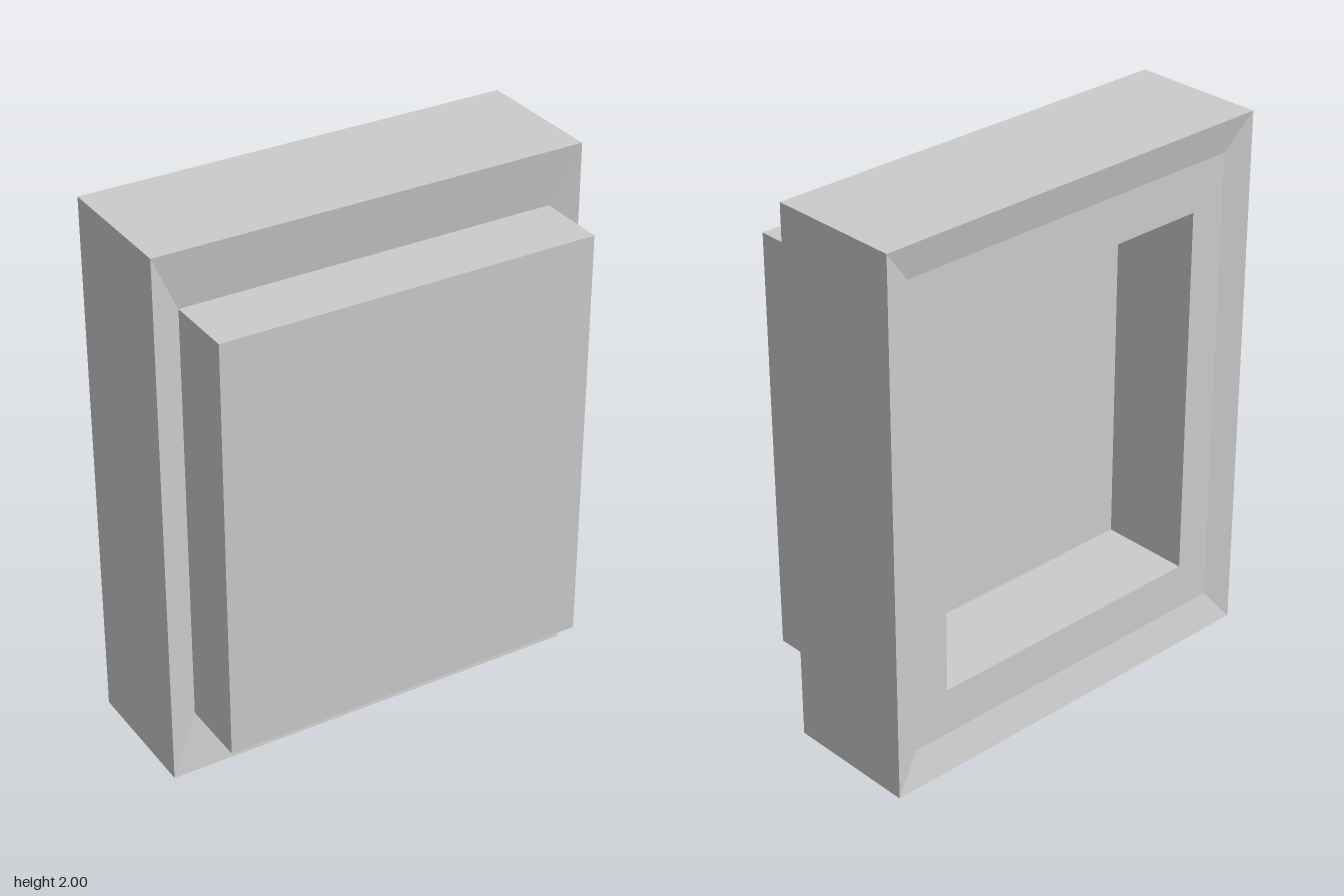
import * as THREE from 'three';

// Corners of an upright rectangle, counter-clockwise seen from the front
const rectLoop = ([halfW, y0, y1, z]) => [
  [-halfW, y0, z], [halfW, y0, z], [halfW, y1, z], [-halfW, y1, z],
];

// Skin rectangular sections from front to back, closing the last one
function loftRects(sections) {
  const loops = sections.map(rectLoop);
  const positions = [];
  const quad = (a, b, c, d) => positions.push(...a, ...b, ...c, ...a, ...c, ...d);
  for (let s = 0; s < loops.length - 1; s++) {
    const A = loops[s], B = loops[s + 1];
    for (let i = 0; i < 4; i++) {
      const j = (i + 1) % 4;
      quad(A[i], B[i], B[j], A[j]);
    }
  }
  const [p, q, r, t] = loops[loops.length - 1];
  quad(p, t, r, q);
  const geometry = new THREE.BufferGeometry();
  geometry.setAttribute('position', new THREE.Float32BufferAttribute(positions, 3));
  geometry.computeVertexNormals();
  return geometry;
}

export function createModel() {
  const group = new THREE.Group();
  const material = new THREE.MeshStandardMaterial({ color: 0xcccccc, flatShading: true });

  // Frame: shallow sloped front, straight sides, sloped back rim and a deep recess
  const frame = new THREE.Mesh(loftRects([
    // half width, bottom, top, z
    [0.697, 0.22, 1.785, 0.105],  // front slope meets the panel
    [0.8, 0, 2, 0.135],           // outer front edge
    [0.8, 0, 2, -0.365],          // outer back edge
    [0.697, 0.13, 1.87, -0.336],  // foot of the back slope
    [0.558, 0.305, 1.695, -0.336], // recess opening
    [0.558, 0.305, 1.695, 0.008],  // recess floor
  ]), material);
  frame.name = 'frame';
  group.add(frame);

  // Raised panel on the front
  const panel = new THREE.Mesh(new THREE.BoxGeometry(1.394, 1.565, 0.26), material);
  panel.position.set(0, 1.0025, 0.235);
  panel.name = 'frontPanel';
  group.add(panel);

  return group;
}
